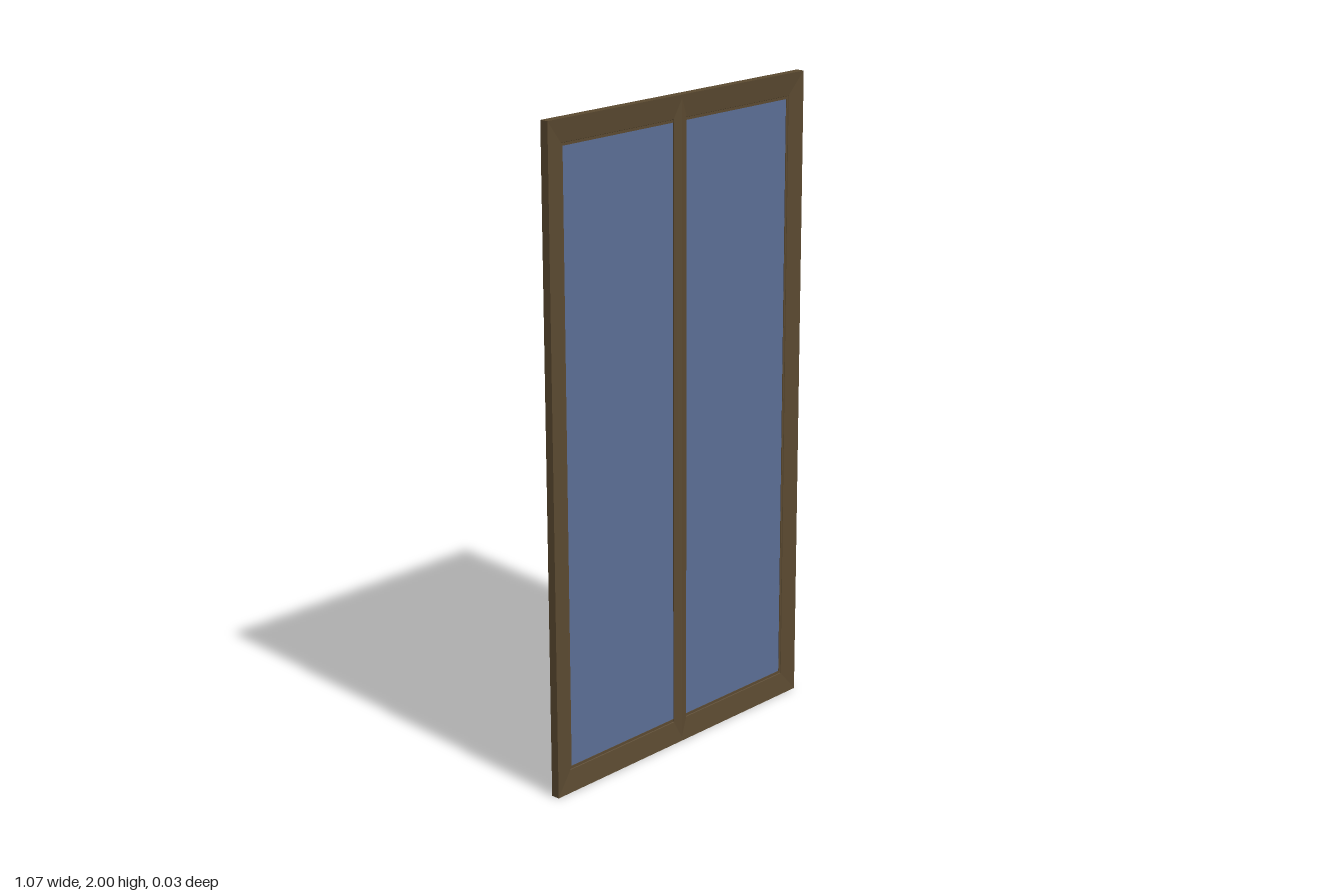
import * as THREE from 'three';

const W = 0.535, H = 1; // half width and half height of the window

// Flat-shaded closed surface swept through successive rings of corner points
function sweepRings(rings) {
  const pos = [];
  for (let i = 0; i < rings.length - 1; i++) {
    const a = rings[i], b = rings[i + 1], n = a.length;
    for (let j = 0; j < n; j++) {
      const k = (j + 1) % n;
      pos.push(...a[j], ...a[k], ...b[k], ...a[j], ...b[k], ...b[j]);
    }
  }
  const geo = new THREE.BufferGeometry();
  geo.setAttribute('position', new THREE.Float32BufferAttribute(pos, 3));
  geo.computeVertexNormals();
  return geo;
}

// Rectangular ring, inset from the outside of the window, at depth z
function ring([inset, z]) {
  const x = W - inset, y = H - inset * 1.18;
  return [[-x, H - y, z], [x, H - y, z], [x, H + y, z], [-x, H + y, z]];
}

export function createModel() {
  const wood = new THREE.MeshStandardMaterial({ color: 0x5a4930 });
  wood.name = 'dark wood';
  const blue = new THREE.MeshStandardMaterial({ color: 0x5a6d94 });
  blue.name = 'blue glass';

  const model = new THREE.Group();
  model.name = 'window';
  const add = (name, geo, mat) => {
    const mesh = new THREE.Mesh(geo, mat);
    mesh.name = name;
    model.add(mesh);
    return mesh;
  };

  // Mitred frame: faces slope down to a small stepped lip around the glass
  const profile = [
    [0, -0.0135], [0, 0.0135], [0.058, 0.005], [0.059, 0.003], [0.066, 0.003],
    [0.066, -0.003], [0.059, -0.003], [0.058, -0.005], [0, -0.0135],
  ];
  add('frame', sweepRings(profile.map(ring)), wood);

  // Single pane across the whole opening
  add('glassPane', new THREE.BoxGeometry(2 * (W - 0.064), 2 * (H - 0.075), 0.003), blue)
    .position.set(0, H, 0);

  // Ridged centre bar whose pointed ends run into the sloping frame
  const half = 0.027;
  const section = new THREE.Shape([
    new THREE.Vector2(-half, 0.001), new THREE.Vector2(half, 0.001),
    new THREE.Vector2(half, 0.0052), new THREE.Vector2(0, 0.0122),
    new THREE.Vector2(-half, 0.0052),
  ]);
  const bar = new THREE.ExtrudeGeometry(section, { depth: 1.98, bevelEnabled: false });
  bar.rotateX(Math.PI / 2); // section depth turns to -y, length to -y
  bar.rotateX(Math.PI);
  bar.computeBoundingBox();
  const box = bar.boundingBox;
  // Turn so the ridge faces +z and the bar stands centred in the frame
  if (box.max.z < 0.005) bar.rotateY(Math.PI);
  bar.translate(0, H - (box.min.y + box.max.y) / 2, 0);
  add('centreBar', bar, wood);

  return model;
}
